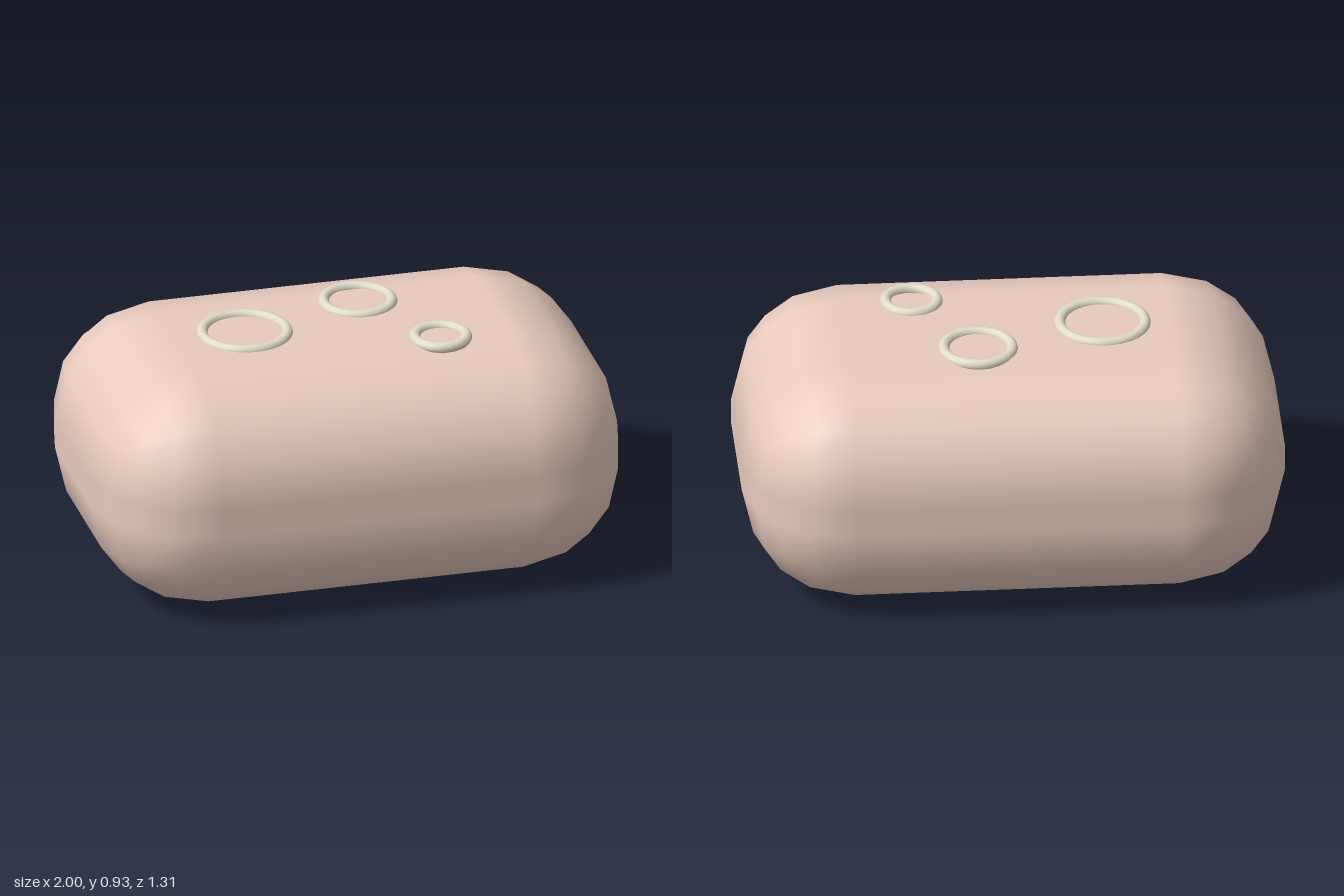
import * as THREE from 'three';
import { RoundedBoxGeometry } from 'three/addons/geometries/RoundedBoxGeometry.js';

const HEIGHT = 0.908;

export function createModel() {
  const model = new THREE.Group();
  model.name = 'roundedBlockWithRings';

  // Soft block with coarse rounded edges
  const body = new THREE.Mesh(
    new RoundedBoxGeometry(2, HEIGHT, 1.314, 2, 0.403),
    new THREE.MeshStandardMaterial({ color: 0xe8cabd })
  );
  body.name = 'body';
  body.position.y = HEIGHT / 2;
  model.add(body);

  // Rings lying half sunk in the top: [name, x, z, radius]
  const ringMaterial = new THREE.MeshStandardMaterial({ color: 0xe0dcc8 });
  const rings = [
    ['largeRing', -0.347, 0, 0.157],
    ['mediumRing', 0.123, -0.16, 0.126],
    ['smallRing', 0.34, 0.217, 0.095],
  ];
  for (const [name, x, z, radius] of rings) {
    const ring = new THREE.Mesh(new THREE.TorusGeometry(radius, 0.0215, 12, 40), ringMaterial);
    ring.name = name;
    ring.rotation.x = Math.PI / 2;
    ring.position.set(x, HEIGHT - 0.002, z);
    model.add(ring);
  }
  return model;
}
